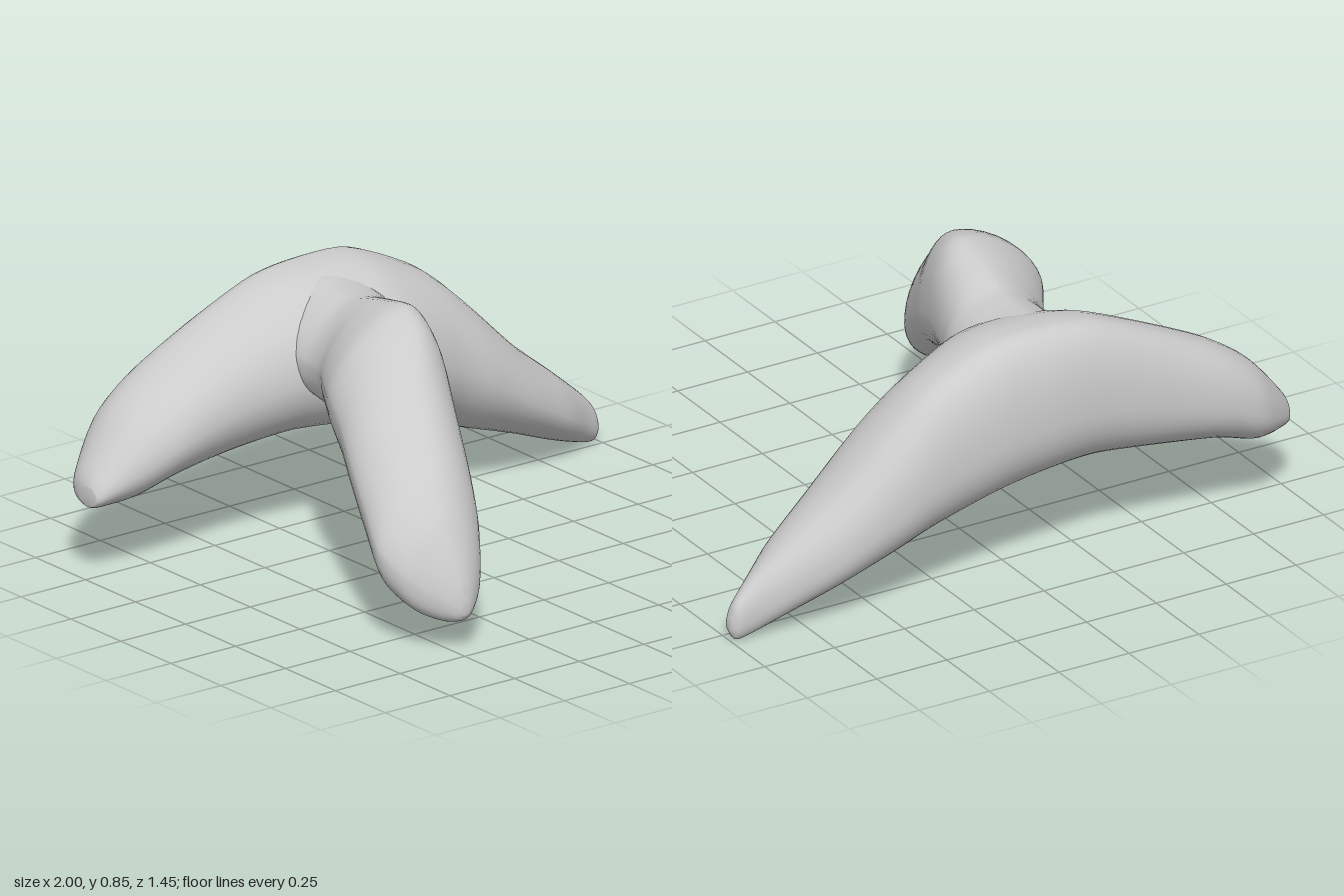
import * as THREE from 'three';

const material = new THREE.MeshStandardMaterial({ color: 0xcccccc });
const WAIST = 0.44; // height of the widest point within a section

const spline = points => new THREE.CatmullRomCurve3(
  points.map(p => new THREE.Vector3(...p)), false, 'catmullrom', 0.4);

// Skins a limb through stations [along, top, bottom, sideMin, sideMax, crest, belly],
// where crest and belly are the sideways positions of the top and bottom lines.
// corners holds the roundness of [minTop, maxTop, minBottom, maxBottom]: below 1 is squarer.
function limb(name, axis, corners, stations, rows = 64, sides = 40) {
  const heights = spline(stations.map(s => s.slice(0, 3)));
  const widths = spline(stations.map(s => s.slice(3, 6)));
  const bellies = spline(stations.map(s => [s[6], 0, 0]));
  const positions = [], index = [];
  const put = (along, y, side) =>
    axis === 'x' ? positions.push(along, y, side) : positions.push(side, y, along);
  const flip = axis === 'x' ? -1 : 1;
  const power = (v, p) => Math.sign(v) * Math.pow(Math.abs(v), p);

  for (let i = 0; i <= rows; i++) {
    const h = heights.getPoint(i / rows), w = widths.getPoint(i / rows);
    const belly = bellies.getPoint(i / rows).x;
    const waist = h.z + (h.y - h.z) * WAIST;
    for (let j = 0; j < sides; j++) {
      const a = j / sides * Math.PI * 2;
      const c = flip * Math.cos(a), s = Math.sin(a);
      const p = corners[(s < 0 ? 2 : 0) + (c > 0 ? 1 : 0)];
      const centre = s < 0 ? belly : w.z;
      const reach = c > 0 ? w.y - centre : centre - w.x;
      const rise = s < 0 ? waist - h.z : h.y - waist;
      put(h.x, waist + rise * power(s, p), centre + reach * power(c, p));
    }
  }
  for (let i = 0; i < rows; i++) {
    for (let j = 0; j < sides; j++) {
      const k = (j + 1) % sides;
      const a = i * sides + j, b = i * sides + k;
      index.push(a, b, b + sides, a, b + sides, a + sides);
    }
  }
  // Closed ends
  for (const end of [0, rows]) {
    const h = heights.getPoint(end / rows), w = widths.getPoint(end / rows);
    const centre = positions.length / 3;
    put(h.x, (h.y + h.z) / 2, (w.x + w.y) / 2);
    for (let j = 0; j < sides; j++) {
      const a = end * sides + j, b = end * sides + (j + 1) % sides;
      if (end) index.push(centre, a, b);
      else index.push(centre, b, a);
    }
  }
  const geometry = new THREE.BufferGeometry();
  geometry.setAttribute('position', new THREE.Float32BufferAttribute(positions, 3));
  geometry.setIndex(index);
  geometry.computeVertexNormals();
  const mesh = new THREE.Mesh(geometry, material);
  mesh.name = name;
  return mesh;
}

export function createModel() {
  const model = new THREE.Group();
  model.name = 'threeArmedForm';

  // Arched rear bar, swelling forward where the front arm joins
  model.add(limb('rearArch', 'x', [0.9, 1, 0.95, 1.03], [
    [-1.00, 0.30, 0.24, -0.53, -0.45, -0.49, -0.49],
    [-0.97, 0.35, 0.23, -0.60, -0.43, -0.52, -0.51],
    [-0.84, 0.50, 0.23, -0.69, -0.39, -0.56, -0.53],
    [-0.70, 0.60, 0.27, -0.71, -0.36, -0.58, -0.53],
    [-0.48, 0.71, 0.30, -0.71, -0.35, -0.59, -0.53],
    [-0.26, 0.80, 0.32, -0.71, -0.31, -0.59, -0.52],
    [-0.08, 0.82, 0.31, -0.72, -0.25, -0.59, -0.52],
    [0.10, 0.81, 0.28, -0.72, -0.26, -0.59, -0.52],
    [0.32, 0.71, 0.22, -0.71, -0.31, -0.58, -0.52],
    [0.46, 0.59, 0.17, -0.70, -0.32, -0.56, -0.52],
    [0.64, 0.41, 0.11, -0.67, -0.35, -0.54, -0.53],
    [0.80, 0.28, 0.05, -0.62, -0.40, -0.53, -0.53],
    [0.92, 0.18, 0.01, -0.58, -0.47, -0.53, -0.54],
    [0.98, 0.12, 0.00, -0.57, -0.50, -0.54, -0.54],
    [1.00, 0.07, 0.03, -0.55, -0.52, -0.54, -0.54],
  ]));

  // Front arm, growing out of the bar and drooping to a rounded tip
  model.add(limb('frontArm', 'z', [1.25, 0.95, 0.85, 1], [
    [-0.64, 0.78, 0.58, -0.22, 0.08, -0.08, -0.08],
    [-0.50, 0.80, 0.50, -0.28, 0.10, -0.10, -0.10],
    [-0.38, 0.79, 0.47, -0.31, 0.10, -0.12, -0.11],
    [-0.28, 0.79, 0.45, -0.31, 0.07, -0.13, -0.13],
    [-0.20, 0.81, 0.45, -0.33, 0.03, -0.14, -0.16],
    [-0.12, 0.83, 0.45, -0.38, 0.00, -0.15, -0.19],
    [0.00, 0.85, 0.42, -0.45, -0.04, -0.16, -0.25],
    [0.12, 0.81, 0.37, -0.50, -0.08, -0.20, -0.31],
    [0.25, 0.72, 0.31, -0.56, -0.14, -0.28, -0.37],
    [0.40, 0.61, 0.22, -0.62, -0.21, -0.36, -0.43],
    [0.52, 0.51, 0.14, -0.66, -0.27, -0.42, -0.47],
    [0.61, 0.41, 0.10, -0.63, -0.33, -0.46, -0.48],
    [0.67, 0.31, 0.09, -0.57, -0.38, -0.47, -0.48],
    [0.71, 0.22, 0.10, -0.52, -0.43, -0.475, -0.475],
    [0.725, 0.16, 0.12, -0.49, -0.46, -0.475, -0.475],
  ]));

  return model;
}
